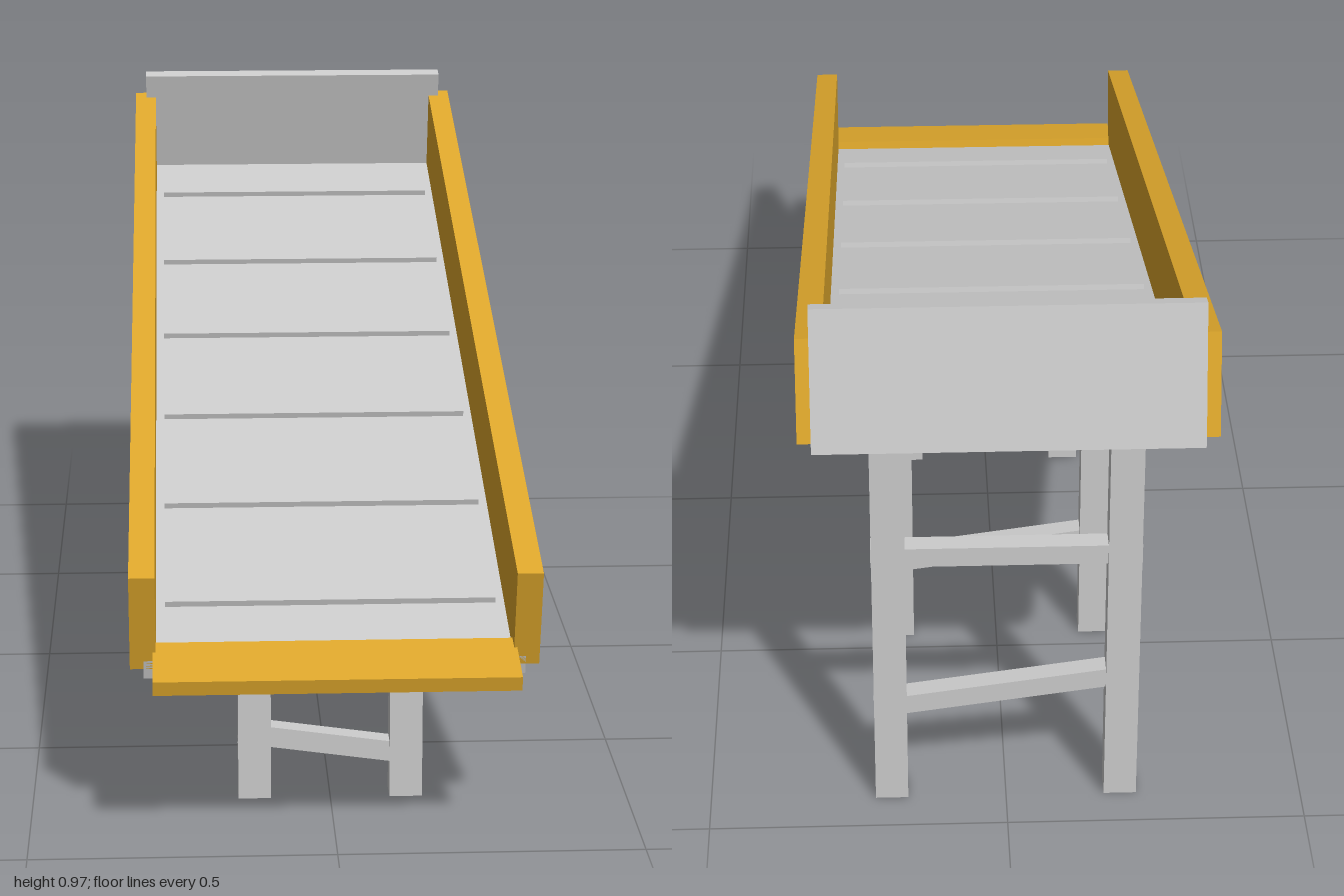
import * as THREE from 'three';

const grey = new THREE.MeshStandardMaterial({ color: 0xcccccc, flatShading: true });
const yellow = new THREE.MeshStandardMaterial({ color: 0xdfa82c, flatShading: true });

function box(parent, name, size, pos, material = grey) {
  const mesh = new THREE.Mesh(new THREE.BoxGeometry(...size), material);
  mesh.position.set(...pos);
  mesh.name = name;
  parent.add(mesh);
  return mesh;
}

export function createModel() {
  const model = new THREE.Group();
  model.name = 'ramp';

  // Sloping bed: local z runs down the slope, local y is normal to it
  const slope = Math.atan(0.2485);
  const bed = new THREE.Group();
  bed.name = 'bed';
  bed.rotation.x = slope;
  bed.position.set(0, 0.522, -0.047);
  model.add(bed);

  const length = 1.955;
  box(bed, 'deck', [0.62, 0.033, length], [0, -0.0015, 0]);
  for (const side of [-1, 1]) {
    box(bed, 'sideWall', [0.042, 0.172, length], [side * 0.311, 0.086, 0], yellow);
  }
  box(bed, 'endPlate', [0.62, 0.22, 0.028], [0, 0.11, -0.966]);

  // Cross cleats on the deck
  for (let i = 0; i < 6; i++) {
    box(bed, 'cleat', [0.55, 0.012, 0.034], [0, 0.019, -0.807 + i * 0.321]);
  }

  // Flatter lip at the low end
  const lip = box(model, 'lip', [0.59, 0.025, 0.122], [0, 0.2985, 0.937], yellow);
  lip.rotation.x = 0.21;

  // Trestles grow taller and wider towards the high end
  const trestles = [[0.73, 0.155], [0.147, 0.18], [-0.44, 0.205], [-0.905, 0.221]];
  const legWidth = 0.055;
  for (const [z, outer] of trestles) {
    const height = 0.4925 - z * 0.2485;
    const trestle = new THREE.Group();
    trestle.name = 'trestle';
    trestle.position.z = z;
    for (const side of [-1, 1]) {
      box(trestle, 'leg', [legWidth, height, 0.045], [side * (outer - legWidth / 2), height / 2, 0]);
    }
    box(trestle, 'upperRung', [outer * 2 + 0.002, 0.035, 0.035], [0, height * 0.68, 0]);
    const brace = box(trestle, 'slantedRung', [outer * 2, 0.035, 0.035], [0, height * 0.3, 0]);
    brace.rotation.z = -0.14;
    model.add(trestle);
  }
  return model;
}
